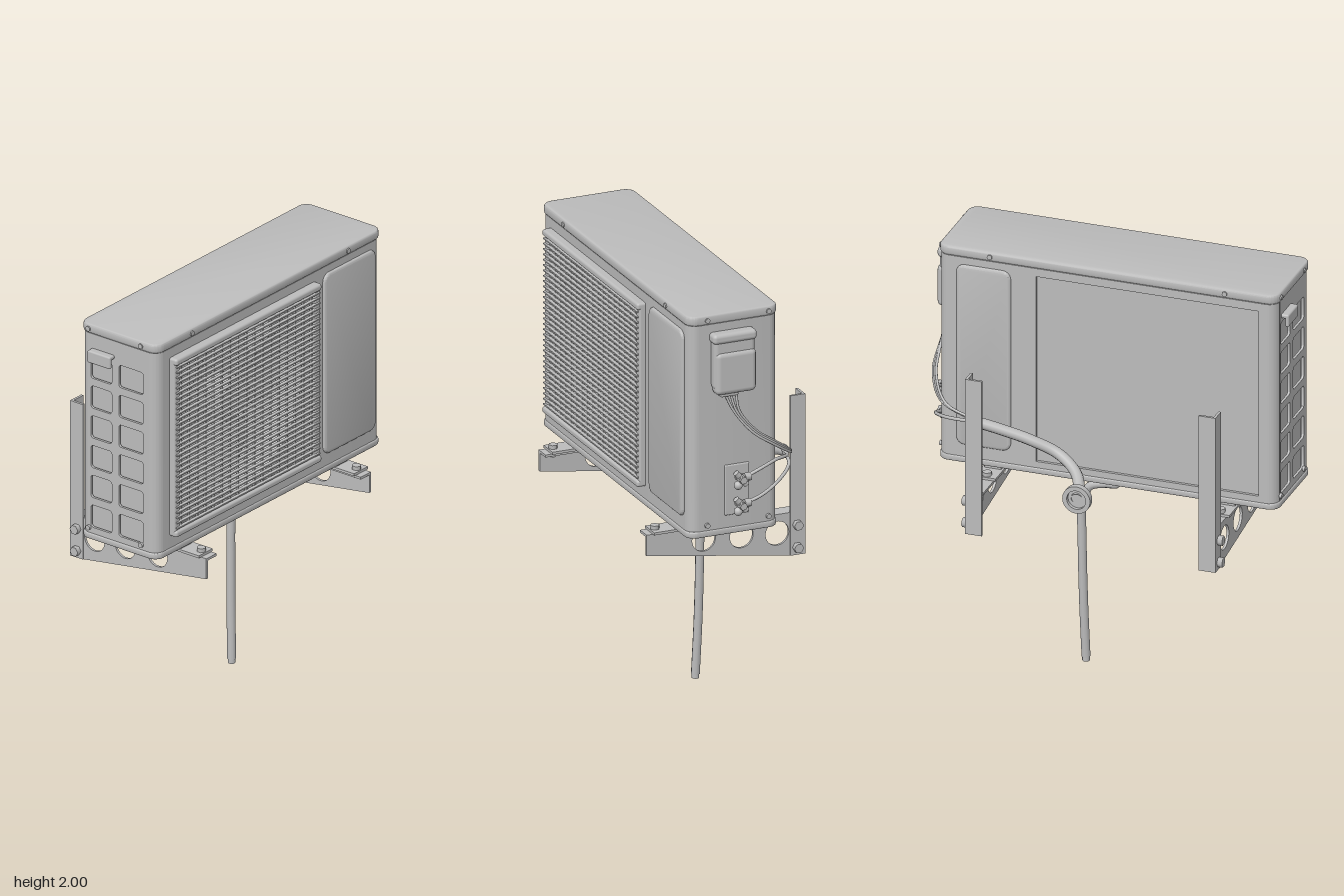
import * as THREE from 'three';
import { toCreasedNormals } from 'three/addons/utils/BufferGeometryUtils.js';
import { RoundedBoxGeometry } from 'three/addons/geometries/RoundedBoxGeometry.js';

const grey = new THREE.MeshStandardMaterial({ color: 0xbcbcbc, side: THREE.DoubleSide });
grey.name = 'plainGrey';

const V = (x, y, z) => new THREE.Vector3(x, y, z);

function add(parent, name, geo, x = 0, y = 0, z = 0) {
  const m = new THREE.Mesh(geo, grey);
  m.name = name;
  m.position.set(x, y, z);
  parent.add(m);
  return m;
}

// Box given by its limits, optionally rounded
function box(parent, name, x0, x1, y0, y1, z0, z1, r = 0) {
  const s = [x1 - x0, y1 - y0, z1 - z0];
  const geo = r ? new RoundedBoxGeometry(...s, 3, r) : new THREE.BoxGeometry(...s);
  return add(parent, name, geo, (x0 + x1) / 2, (y0 + y1) / 2, (z0 + z1) / 2);
}

// Rectangle with a radius per corner: bottom-left, bottom-right, top-right, top-left
function rect(x0, x1, y0, y1, [a, b, c, d], S = THREE.Shape) {
  const s = new S(), P = Math.PI;
  const corner = (x, y, r, t) => r ? s.absarc(x, y, r, t, t + P / 2, false) : s.lineTo(x, y);
  s.moveTo(x0 + a, y0);
  corner(x1 - b, y0 + b, b, -P / 2);
  corner(x1 - c, y1 - c, c, 0);
  corner(x0 + d, y1 - d, d, P / 2);
  corner(x0 + a, y0 + a, a, P);
  return s;
}

const extrude = (shape, depth, bevel = 0) => toCreasedNormals(new THREE.ExtrudeGeometry(shape, {
  depth: depth - 2 * bevel, curveSegments: 24, bevelEnabled: bevel > 0,
  bevelSize: bevel, bevelThickness: bevel, bevelOffset: -bevel, bevelSegments: 3,
}).translate(0, 0, bevel), 0.6);

// Plan outline (x, -z) raised along y; side outline (-z, y) pushed along x
const upright = (shape, h, bevel) => extrude(shape, h, bevel).rotateX(-Math.PI / 2);
const sideways = (shape, w) => extrude(shape, w).rotateY(Math.PI / 2);

// Cylinder lying along an axis
function rod(parent, name, r, len, axis, x, y, z, sides = 20) {
  const m = add(parent, name, new THREE.CylinderGeometry(r, r, len, sides), x, y, z);
  if (axis === 'x') m.rotation.z = Math.PI / 2;
  if (axis === 'z') m.rotation.x = Math.PI / 2;
  return m;
}

const tube = (parent, name, r, pts, n = 40) => add(parent, name,
  new THREE.TubeGeometry(new THREE.CatmullRomCurve3(pts.map(p => V(...p))), n, r, 10));

function makeCasing() {
  const g = new THREE.Group();
  g.name = 'casing';
  const y0 = 0.955, h = 1.0;
  // Compartment and corner posts, all with rounded vertical edges
  add(g, 'compartment', upright(rect(0.32, 0.785, -0.288, 0.15, [0, 0.05, 0.05, 0]), h), 0, y0);
  add(g, 'frontCorner', upright(rect(-0.825, -0.72, -0.288, -0.235, [0.05, 0, 0, 0]), h), 0, y0);
  add(g, 'backCorner', upright(rect(-0.825, -0.74, 0.1, 0.15, [0, 0, 0, 0.05]), h), 0, y0);
  const plan = () => rect(-0.83, 0.79, -0.293, 0.153, [0.05, 0.05, 0.05, 0.05]);
  add(g, 'lid', upright(plan(), 0.045, 0.01), 0, 1.955);
  add(g, 'base', upright(plan(), 0.03, 0.006), 0, 0.94);

  // Front wall with a fan opening cut flat at the top
  const front = rect(-0.73, 0.33, y0, 1.955, [0, 0, 0, 0]);
  const hole = new THREE.Path(), t = Math.asin(0.365 / 0.42);
  hole.absarc(-0.21, 1.5, 0.42, Math.PI - t, 2 * Math.PI + t, false);
  hole.closePath();
  front.holes.push(hole);
  add(g, 'frontWall', extrude(front, 0.012), 0, 0, 0.276);
  const duct = new THREE.CylinderGeometry(0.42, 0.42, 0.12, 64, 1, true).rotateX(Math.PI / 2);
  add(g, 'fanDuct', duct, -0.21, 1.5, 0.216);

  // Vented end wall with two columns of windows
  const end = rect(-0.24, 0.105, y0, 1.955, [0, 0, 0, 0]);
  for (let i = 0; i < 6; i++) for (const [a, b] of [[-0.21, -0.07], [-0.03, 0.09]]) {
    const y = 1.0 + i * 0.147;
    end.holes.push(rect(a, b, y, y + 0.11, [0.015, 0.015, 0.015, 0.015], THREE.Path));
  }
  add(g, 'ventedEnd', sideways(end, 0.012), -0.825);
  box(g, 'endCoil', -0.80, -0.79, y0, 1.955, -0.13, 0.25);

  // Back frame and recessed coil
  box(g, 'backRail', -0.745, 0.34, 1.915, 1.955, -0.15, -0.13);
  box(g, 'backRail', -0.745, 0.34, y0, 1.0, -0.15, -0.13);
  box(g, 'backCoil', -0.76, 0.34, y0, 1.955, -0.136, -0.126);

  // Raised panels on the compartment
  const panel = (w) => extrude(rect(-w, w, -0.445, 0.445, [0.04, 0.04, 0.04, 0.04]), 0.03, 0.012);
  add(g, 'frontPanel', panel(0.185), 0.55, 1.475, 0.272);
  add(g, 'backPanel', panel(0.13), 0.57, 1.475, -0.161);

  // Case screws
  for (const x of [-0.58, 0.54]) for (const z of [0.293, -0.153])
    rod(g, 'screw', 0.012, 0.012, 'z', x, 1.977, z, 12);
  for (const z of [0.2, -0.1]) for (const y of [1.977, 0.995]) {
    rod(g, 'screw', 0.012, 0.014, 'x', 0.789, y, z, 12);
    rod(g, 'screw', 0.012, 0.014, 'x', -0.829, y, z, 12);
  }
  // Carrying handle
  box(g, 'handle', -0.86, -0.82, 1.865, 1.885, -0.085, 0.045, 0.008);
  box(g, 'handleGrip', -0.86, -0.842, 1.825, 1.88, -0.085, 0.045, 0.008);
  return g;
}

function makeFan() {
  const g = new THREE.Group();
  g.name = 'fan';
  g.position.set(-0.21, 1.5, 0.18);
  rod(g, 'hub', 0.105, 0.12, 'z', 0, 0, 0, 40);
  add(g, 'hubRim', new THREE.TorusGeometry(0.098, 0.008, 8, 40), 0, 0, 0.06);
  // Swept, pitched blades
  for (let k = 0; k < 3; k++) {
    const geo = new THREE.PlaneGeometry(1, 1, 14, 14), p = geo.attributes.position;
    for (let i = 0; i < p.count; i++) {
      const u = p.getX(i) + 0.5, v = p.getY(i);
      const r = 0.09 + u * (0.315 - 0.25 * Math.pow(Math.abs(v) * 2, 6) * u);
      const a = (0.75 + 0.65 * u) * v - 0.55 * u * u;
      p.setXYZ(i, r * Math.cos(a), r * Math.sin(a), 0.1 * v);
    }
    geo.computeVertexNormals();
    add(g, 'blade', geo).rotation.z = 0.65 + k * Math.PI * 2 / 3;
  }
  return g;
}

function makeGrille() {
  const g = new THREE.Group();
  g.name = 'grille';
  box(g, 'topRail', -0.735, 0.31, 1.877, 1.91, 0.28, 0.33, 0.012);
  box(g, 'bottomRail', -0.735, 0.31, 1.03, 1.062, 0.28, 0.33, 0.012);
  box(g, 'sideRail', -0.735, -0.695, 1.035, 1.905, 0.28, 0.318, 0.01);
  box(g, 'sideRail', 0.27, 0.31, 1.035, 1.905, 0.28, 0.318, 0.01);
  for (let i = 0; i < 32; i++) {
    const y = 1.074 + i * 0.0256;
    box(g, 'slat', -0.725, 0.30, y - 0.003, y + 0.003, 0.31, 0.328);
  }
  for (let i = 0; i < 17; i++) {
    const x = -0.68 + i * 0.0585;
    box(g, 'wire', x - 0.003, x + 0.003, 1.05, 1.89, 0.302, 0.314);
  }
  return g;
}

function makeBracket(s) {
  const g = new THREE.Group();
  g.name = s > 0 ? 'leftBracket' : 'rightBracket';
  const X = (o) => -0.02 + s * o;
  const bar = (name, a, b, ...r) => box(g, name, Math.min(X(a), X(b)), Math.max(X(a), X(b)), ...r);
  // Tapered arm with three round holes
  const arm = new THREE.Shape([[0.4, 0.905], [0.4, 0.805], [-0.3, 0.7], [-0.37, 0.7], [-0.37, 0.905]]
    .map(([z, y]) => new THREE.Vector2(-z, y)));
  for (const [z, y] of [[0.12, 0.842], [-0.065, 0.83], [-0.24, 0.815]])
    arm.holes.push(new THREE.Path().absarc(-z, y, 0.057, 0, Math.PI * 2));
  add(g, 'arm', sideways(arm, 0.012), X(0.585) - 0.006);
  bar('armFlange', 0.517, 0.591, 0.893, 0.905, -0.36, 0.4);
  // Angled wall post
  bar('postWeb', 0.585, 0.597, 0.7, 1.465, -0.375, -0.302);
  bar('postBack', 0.517, 0.597, 0.7, 1.465, -0.375, -0.363);
  for (const y of [0.845, 0.737]) {
    rod(g, 'postBolt', 0.023, 0.026, 'x', X(0.608), y, -0.335, 6);
    rod(g, 'boltEnd', 0.012, 0.04, 'x', X(0.57), y, -0.335, 12);
  }
  // Mounting foot
  bar('foot', 0.507, 0.607, 0.905, 0.917, -0.22, 0.37);
  bar('footRise', 0.517, 0.597, 0.915, 0.942, -0.12, 0.26);
  for (const z of [0.345, -0.195]) {
    rod(g, 'footBolt', 0.022, 0.022, 'y', X(0.557), 0.924, z, 6);
    rod(g, 'boltEnd', 0.011, 0.05, 'y', X(0.557), 0.9, z, 12);
  }
  return g;
}

function makePlumbing() {
  const g = new THREE.Group();
  g.name = 'plumbing';
  // Terminal cover
  box(g, 'terminalCover', 0.775, 0.843, 1.625, 1.83, -0.022, 0.178, 0.025);
  box(g, 'coverTop', 0.775, 0.832, 1.65, 1.9, -0.018, 0.182, 0.02);
  box(g, 'coverLip', 0.775, 0.84, 1.87, 1.918, -0.025, 0.19, 0.018);
  box(g, 'cableClamp', 0.785, 0.825, 1.61, 1.64, 0.06, 0.15, 0.01);
  // Service valves
  box(g, 'valvePlate', 0.78, 0.793, 1.03, 1.27, -0.005, 0.115, 0.006);
  for (const y of [1.21, 1.085]) {
    rod(g, 'valveBody', 0.018, 0.06, 'x', 0.815, y, 0.05);
    rod(g, 'valveCap', 0.018, 0.024, 'x', 0.845, y, 0.05, 6);
    rod(g, 'valveStem', 0.014, 0.08, 'y', 0.825, y, 0.05).rotation.x = 0.7;
    rod(g, 'valveNut', 0.02, 0.03, 'z', 0.825, y + 0.005, 0.02, 6);
    add(g, 'valveEnd', new THREE.SphereGeometry(0.02, 14, 10), 0.825, y - 0.03, 0.065);
  }
  // Copper lines and cables meeting behind the casing
  tube(g, 'pipe', 0.008, [[0.825, 1.215, 0.03], [0.83, 1.25, -0.05], [0.8, 1.265, -0.13],
    [0.72, 1.245, -0.22], [0.55, 1.21, -0.27]]);
  tube(g, 'pipe', 0.008, [[0.825, 1.09, 0.03], [0.83, 1.12, -0.05], [0.79, 1.16, -0.15],
    [0.7, 1.195, -0.24], [0.55, 1.21, -0.27]]);
  for (let i = 0; i < 3; i++) {
    const d = i * 0.012;
    tube(g, 'cable', 0.006, [[0.805 + d / 2, 1.62, 0.12 - 2 * d], [0.815 + d / 2, 1.54, 0.085 - d],
      [0.835 - d / 2, 1.43, 0 - d], [0.825 - d, 1.35, -0.11 - d], [0.74 - d, 1.265, -0.23 - d / 2],
      [0.55, 1.215, -0.27]]);
  }
  // Wrapped bundle into the wall sleeve
  tube(g, 'pipeBundle', 0.026, [[0.57, 1.212, -0.27], [0.45, 1.18, -0.247], [0.32, 1.14, -0.225],
    [0.19, 1.085, -0.21], [0.09, 1.03, -0.26], [0.05, 0.985, -0.33], [0.04, 0.968, -0.39]]);
  add(g, 'bundleEnd', new THREE.SphereGeometry(0.026, 14, 10), 0.57, 1.212, -0.27);
  const sleeve = rect(-0.066, 0.066, -0.066, 0.066, [0.066, 0.066, 0.066, 0.066]);
  sleeve.holes.push(new THREE.Path().absarc(0, 0, 0.045, 0, Math.PI * 2));
  add(g, 'wallSleeve', extrude(sleeve, 0.03), 0.036, 0.967, -0.405);
  rod(g, 'sleeveDisc', 0.05, 0.01, 'z', 0.036, 0.967, -0.382, 32);
  // Drain hose
  rod(g, 'drainSocket', 0.06, 0.02, 'y', 0.03, 0.932, -0.045, 28);
  tube(g, 'drainHose', 0.02, [[-0.04, 0.935, -0.045], [-0.03, 0.9, -0.045], [0.03, 0.892, -0.047],
    [0.1, 0.87, -0.05], [0.133, 0.78, -0.055], [0.135, 0.6, -0.055], [0.13, 0.3, -0.05], [0.122, 0.02, -0.04]], 70);
  rod(g, 'hoseEnd', 0.017, 0.03, 'y', 0.122, 0.015, -0.04);
  return g;
}

export function createModel() {
  const model = new THREE.Group();
  model.name = 'outdoorCoolingUnit';
  model.add(makeCasing(), makeFan(), makeGrille(), makeBracket(1), makeBracket(-1), makePlumbing());
  return model;
}
